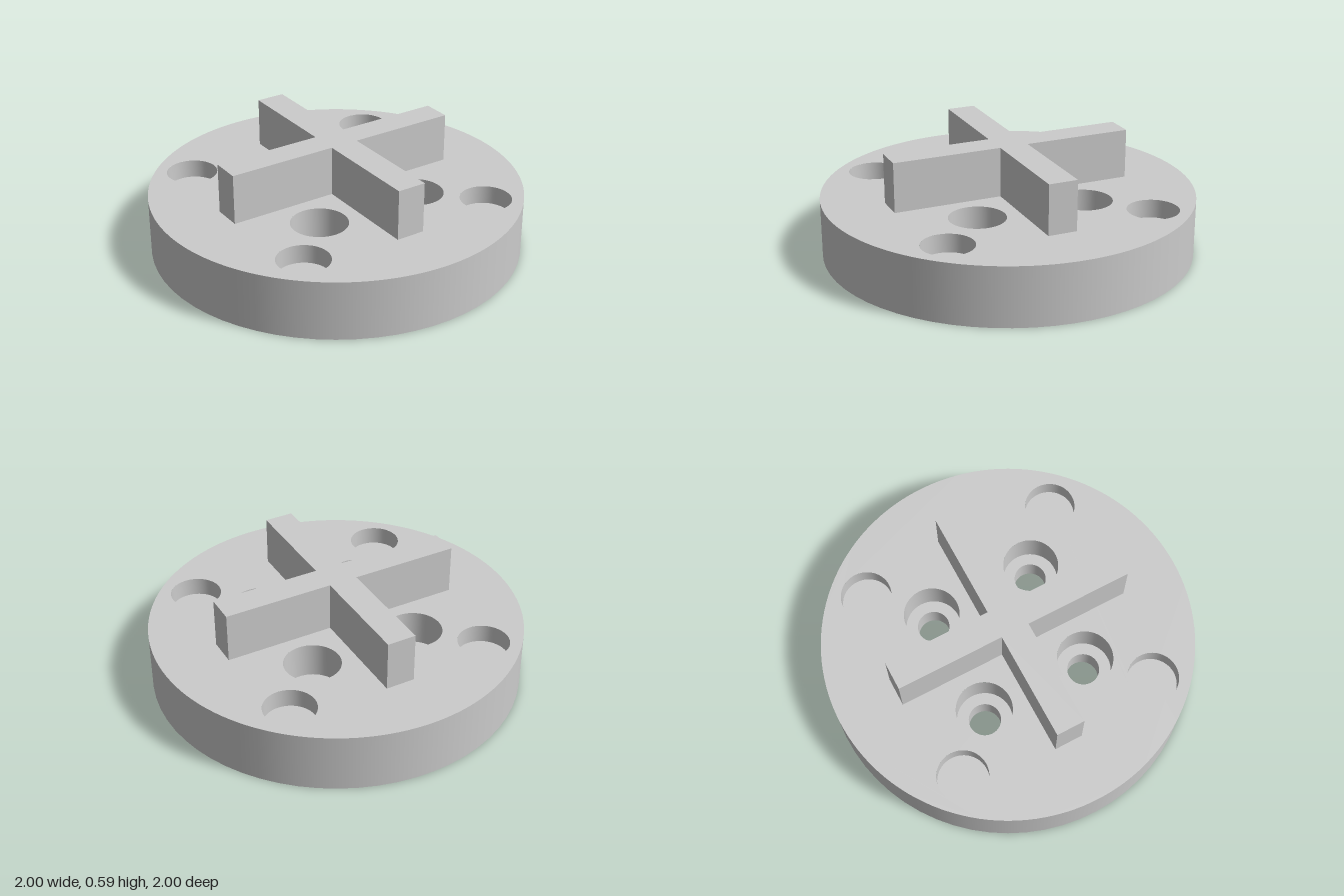
import * as THREE from 'three';

const SEG = 64;
const TOP = 0.32;        // top of the disc
const CROSS_TOP = 0.59;
const BORE = { at: 0.303, r: 0.15, hole: 0.087, floor: 0.13 };  // stepped through holes
const POCKET = { at: 0.567, r: 0.137, floor: 0.22 };            // blind recesses
const CORNERS = [[1, 1], [1, -1], [-1, 1], [-1, -1]];

export function createModel() {
  const model = new THREE.Group();
  const material = new THREE.MeshStandardMaterial({ color: 0xcccccc });

  const add = (name, geometry, parent = model) => {
    const mesh = new THREE.Mesh(geometry, material);
    mesh.name = name;
    parent.add(mesh);
    return mesh;
  };

  // Revolved wall made of separate bands, so every step stays sharp.
  // A profile going up faces outward; going down or inward faces into the hole.
  const revolved = (name, profile, x = 0, z = 0) => {
    const group = new THREE.Group();
    group.name = name;
    group.position.set(x, 0, z);
    for (let i = 0; i < profile.length - 1; i++) {
      const points = [profile[i], profile[i + 1]].map(p => new THREE.Vector2(...p));
      add(name + 'Band', new THREE.LatheGeometry(points, SEG), group);
    }
    model.add(group);
  };

  // Round plate face with circular openings given as [distance, radius]
  const plateFace = (openings) => {
    const shape = new THREE.Shape().absarc(0, 0, 1, 0, Math.PI * 2);
    for (const [at, r] of openings)
      for (const [sx, sz] of CORNERS)
        shape.holes.push(new THREE.Path().absarc(sx * at, sz * at, r, 0, Math.PI * 2, true));
    return new THREE.ShapeGeometry(shape, SEG);
  };

  // Disc
  revolved('discRim', [[1, 0], [1, TOP]]);
  add('discTop', plateFace([[BORE.at, BORE.r], [POCKET.at, POCKET.r]])
    .rotateX(-Math.PI / 2).translate(0, TOP, 0));
  add('discBottom', plateFace([[BORE.at, BORE.hole]]).rotateX(Math.PI / 2));

  // Counterbored screw holes and shallow recesses, one pair per quarter
  for (const [sx, sz] of CORNERS) {
    revolved('screwHole',
      [[BORE.r, TOP], [BORE.r, BORE.floor], [BORE.hole, BORE.floor], [BORE.hole, 0]],
      sx * BORE.at, sz * BORE.at);
    revolved('recess',
      [[POCKET.r, TOP], [POCKET.r, POCKET.floor], [0, POCKET.floor]],
      sx * POCKET.at, sz * POCKET.at);
  }

  // Raised cross
  const a = 0.667, w = 0.078;
  const outline = [[a, -w], [a, w], [w, w], [w, a], [-w, a], [-w, w],
    [-a, w], [-a, -w], [-w, -w], [-w, -a], [w, -a], [w, -w]];
  const cross = new THREE.Shape(outline.map(p => new THREE.Vector2(...p)));
  add('cross', new THREE.ExtrudeGeometry(cross, { depth: CROSS_TOP - TOP, bevelEnabled: false })
    .rotateX(-Math.PI / 2).translate(0, TOP, 0));

  return model;
}
